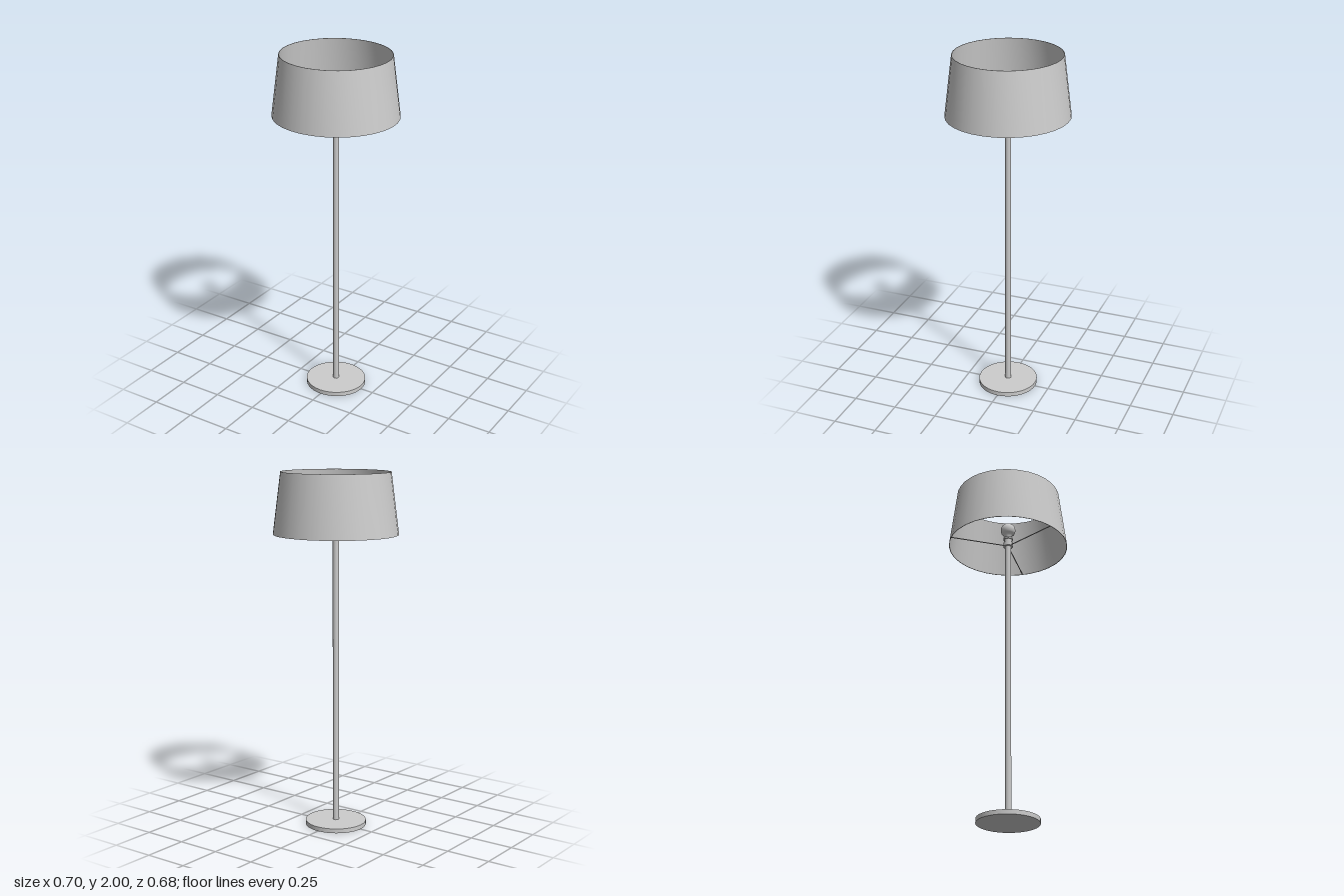
import * as THREE from 'three';
import { toCreasedNormals } from 'three/addons/utils/BufferGeometryUtils.js';

const DEPTH = 0.973; // shade and base are slightly oval

export function createModel() {
  const lamp = new THREE.Group();
  lamp.name = 'floorLamp';
  const grey = new THREE.MeshStandardMaterial({ color: 0xcccccc });
  grey.name = 'lightGrey';

  const add = (name, geometry, y = 0) => {
    const mesh = new THREE.Mesh(geometry, grey);
    mesh.name = name;
    mesh.position.y = y;
    lamp.add(mesh);
    return mesh;
  };
  const lathe = (points, segments) =>
    new THREE.LatheGeometry(points.map(([r, y]) => new THREE.Vector2(r, y)), segments);

  // Oval foot
  const base = add('base', new THREE.CylinderGeometry(0.174, 0.174, 0.025, 40), 0.0125);
  base.scale.z = DEPTH;

  // Pole
  add('pole', new THREE.CylinderGeometry(0.017, 0.017, 1.645, 20), 0.8475);

  // Thin-walled tapered shade, open at both ends
  const shadeProfile = [[0.349, 1.66], [0.305, 2], [0.302, 2], [0.346, 1.66], [0.349, 1.66]];
  const shade = add('shade', toCreasedNormals(lathe(shadeProfile, 32), 0.5));
  shade.scale.z = DEPTH;

  // Socket: collar where the spokes meet, then a narrower holder
  add('collar', new THREE.CylinderGeometry(0.028, 0.028, 0.024, 24), 1.674);
  add('socket', new THREE.CylinderGeometry(0.022, 0.022, 0.03, 24), 1.699);
  add('socketRim', new THREE.CylinderGeometry(0.028, 0.028, 0.01, 24), 1.713);

  // Bulb: flared neck running into a round top
  const bulb = [[0.018, 1.716], [0.02, 1.728], [0.026, 1.74]];
  for (let i = 0; i <= 12; i++) {
    const a = -0.6 + (i / 12) * (Math.PI / 2 + 0.6);
    bulb.push([Math.max(0, 0.043 * Math.cos(a)), 1.772 + 0.043 * Math.sin(a)]);
  }
  add('bulb', lathe(bulb, 24));

  // Three spokes holding the shade
  for (const angle of [0, 1, 2].map((i) => (i * 2 * Math.PI) / 3)) {
    const end = new THREE.Vector3(0.345 * Math.sin(angle), 1.668, 0.345 * DEPTH * Math.cos(angle));
    const start = new THREE.Vector3(0, 1.668, 0);
    add('shadeSpoke', new THREE.TubeGeometry(new THREE.LineCurve3(start, end), 1, 0.003, 8));
  }

  return lamp;
}
